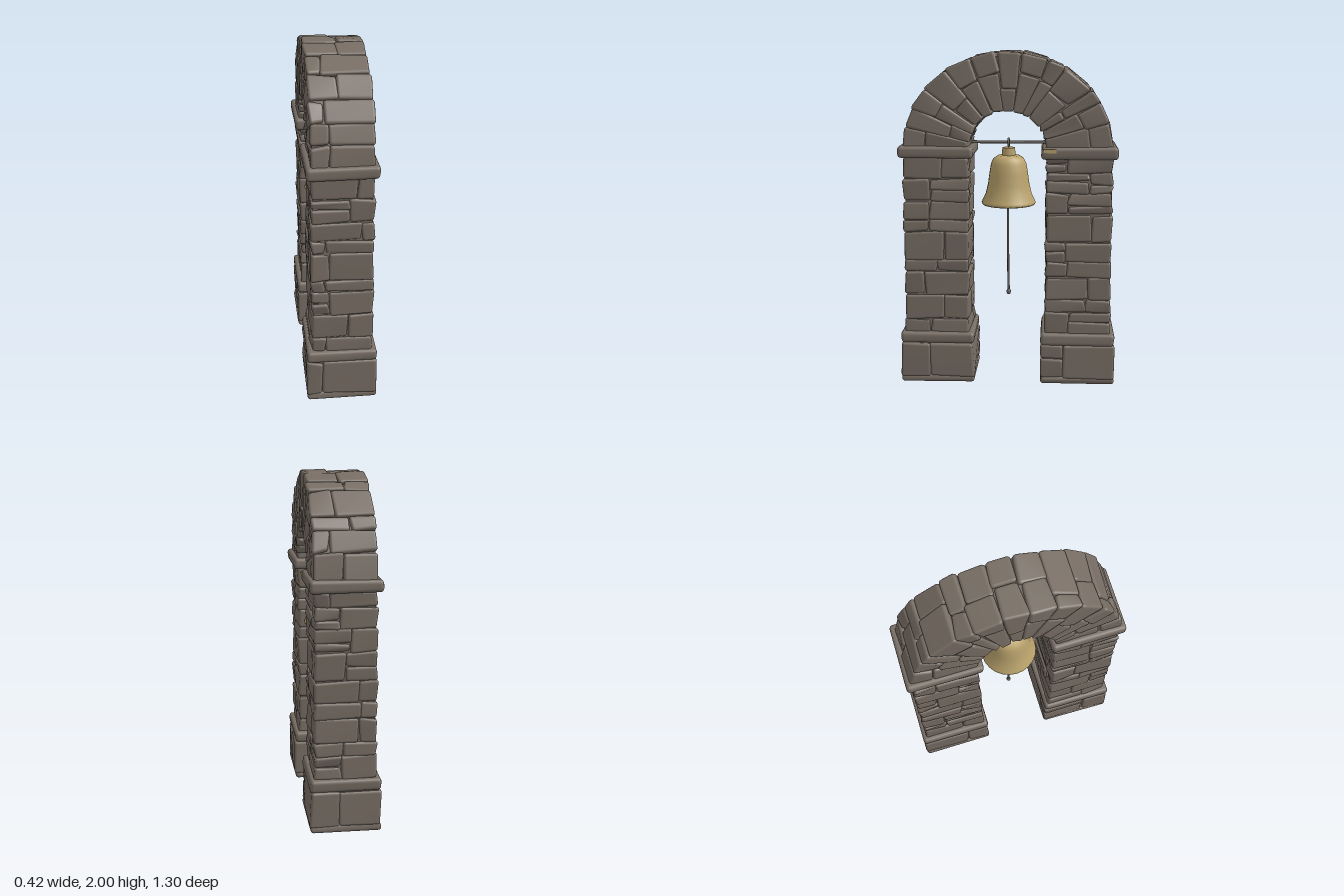
import * as THREE from 'three';
import { mergeVertices, mergeGeometries } from 'three/addons/utils/BufferGeometryUtils.js';
import { RoundedBoxGeometry } from 'three/addons/geometries/RoundedBoxGeometry.js';

const material = (name, color) => Object.assign(new THREE.MeshStandardMaterial({ color }), { name });

export function createModel() {
  const stone = material('stone', 0x776d64);
  const brass = material('brass', 0xb9a26c);
  brass.side = THREE.DoubleSide;
  const iron = material('iron', 0x6a6560);
  const model = new THREE.Group();
  model.name = 'bellArch';

  let seed = 17;
  const rand = () => {
    seed = (seed * 1664525 + 1013904223) % 4294967296;
    return seed / 4294967296;
  };
  const jitter = (a) => (rand() * 2 - 1) * a;

  const add = (parent, name, geometry, mat, x = 0, y = 0, z = 0) => {
    const mesh = new THREE.Mesh(geometry, mat);
    mesh.name = name;
    mesh.position.set(x, y, z);
    parent.add(mesh);
    return mesh;
  };

  // One rounded, slightly skewed block between two corners
  function block(min, max, radius = 0.016, rough = 0.007) {
    const size = max.map((v, i) => v - min[i]);
    const mid = max.map((v, i) => (v + min[i]) / 2);
    const g = new RoundedBoxGeometry(...size, 2, Math.min(radius, Math.min(...size) * 0.4));
    g.deleteAttribute('normal');
    g.deleteAttribute('uv');
    const corners = Array.from({ length: 8 }, () => [jitter(rough), jitter(rough), jitter(rough)]);
    const p = g.attributes.position;
    for (let i = 0; i < p.count; i++) {
      const v = [p.getX(i), p.getY(i), p.getZ(i)];
      const c = corners[(v[0] > 0 ? 1 : 0) + (v[1] > 0 ? 2 : 0) + (v[2] > 0 ? 4 : 0)];
      p.setXYZ(i, ...v.map((n, k) => n + c[k] + mid[k]));
    }
    return g;
  }

  // Uneven cuts from a to b in n steps
  const cuts = (a, b, n) => Array.from({ length: n + 1 }, (_, i) =>
    a + (b - a) * (i + (i > 0 && i < n ? jitter(0.28) : 0)) / n);

  // A course of four blocks meeting at an off-centre joint
  function course(x, y0, y1, z0, z1) {
    const sx = jitter(x * 0.6);
    const sz = z0 + (z1 - z0) * (0.3 + rand() * 0.4);
    const list = [];
    for (const [xa, xb] of [[-x, sx], [sx, x]])
      for (const [za, zb] of [[z0, sz], [sz, z1]]) {
        // Some stones are split into two thinner ones
        const ys = rand() < 0.3 && y1 - y0 > 0.09 ? [y0, y0 + (y1 - y0) * (0.4 + rand() * 0.2), y1] : [y0, y1];
        for (let i = 0; i + 1 < ys.length; i++)
          list.push(block([xa, ys[i], za], [xb, ys[i + 1], zb]));
      }
    return list;
  }

  const smooth = (list) => {
    const g = mergeGeometries(list.map((part) => {
      const m = mergeVertices(part, 1e-5);
      m.computeVertexNormals();
      return m;
    }));
    return g;
  };

  // Pillars
  for (const side of [1, -1]) {
    const pillar = new THREE.Group();
    pillar.name = side > 0 ? 'frontPillar' : 'backPillar';
    model.add(pillar);
    const zc = side * 0.423;

    const foot = [block([-0.203, 0.005, zc - 0.222], [0.203, 0.05, zc + 0.222], 0.02, 0.004)];
    foot.push(...course(0.203, 0.04, 0.25, zc - 0.221, zc + 0.221));
    add(pillar, 'plinth', smooth(foot), stone);
    add(pillar, 'plinthCore', new THREE.BoxGeometry(0.376, 0.22, 0.412), stone, 0, 0.14, zc);

    const shaft = [];
    const ys = cuts(0.31, 1.39, 9);
    for (let i = 0; i < 9; i++) shaft.push(...course(0.177, ys[i], ys[i + 1], zc - 0.196, zc + 0.196));
    add(pillar, 'shaft', smooth(shaft), stone);
    add(pillar, 'shaftCore', new THREE.BoxGeometry(0.33, 1.08, 0.366), stone, 0, 0.85, zc);

    for (const [name, y] of [['lowerBand', 0.285], ['capBand', 1.417]])
      add(pillar, name, smooth([block([-0.203, y - 0.036, zc - 0.223], [0.203, y + 0.036, zc + 0.223], 0.022, 0.003)]), stone);
  }

  // Arch: blocks laid out as (x, depth, angle), then bent around the opening
  const bend = (g) => {
    const p = g.attributes.position;
    for (let i = 0; i < p.count; i++) {
      const d = p.getY(i), a = p.getZ(i) / 0.45;
      p.setXYZ(i, p.getX(i), 1.42 + (0.24 + d * 0.88) * Math.sin(a), -(0.232 + d) * Math.cos(a));
    }
    return g;
  };
  const arch = [];
  const joints = cuts(0, Math.PI * 0.45, 13);
  for (let i = 0; i < 13; i++) {
    const sx = jitter(0.1), sd = 0.12 + rand() * 0.15;
    for (const [xa, xb] of [[-0.177, sx], [sx, 0.177]])
      for (const [da, db] of [[0, sd], [sd, 0.388]])
        arch.push(bend(block([xa, da, joints[i]], [xb, db, joints[i + 1]])));
  }
  add(model, 'archStones', smooth(arch), stone);

  // Solid core behind the arch joints
  const section = new THREE.Shape();
  section.absellipse(0, 0, 0.595, 0.555, 0, Math.PI, false);
  section.absellipse(0, 0, 0.255, 0.262, Math.PI, 0, true);
  const core = new THREE.ExtrudeGeometry(section, { depth: 0.33, bevelEnabled: false, curveSegments: 24 });
  core.translate(0, 0, -0.165).rotateY(Math.PI / 2);
  add(model, 'archCore', core, stone, 0, 1.42, 0);

  // Crossbar and hanging ring
  const bar = add(model, 'crossbar', new THREE.CylinderGeometry(0.009, 0.009, 0.5, 8), iron, 0, 1.46, 0);
  bar.rotation.x = Math.PI / 2;
  add(model, 'hangingRing', new THREE.TorusGeometry(0.022, 0.007, 8, 16), iron, 0, 1.458, 0);

  // Bell, open below with a thin wall
  const profile = [
    [0.001, 1.36], [0.06, 1.35], [0.085, 1.32], [0.105, 1.24], [0.125, 1.15], [0.148, 1.092],
    [0.158, 1.083], [0.165, 1.092], [0.16, 1.105], [0.139, 1.15], [0.125, 1.21], [0.117, 1.27],
    [0.107, 1.33], [0.092, 1.362], [0.065, 1.38], [0.001, 1.385],
  ].map(([r, y]) => new THREE.Vector2(r, y));
  add(model, 'bell', new THREE.LatheGeometry(profile, 24), brass);
  add(model, 'bellCrown', new THREE.CylinderGeometry(0.038, 0.042, 0.055, 16), brass, 0, 1.4, 0);

  // Clapper and its long pull
  const clapper = new THREE.Group();
  clapper.name = 'clapper';
  model.add(clapper);
  add(clapper, 'clapperWeight', new THREE.CylinderGeometry(0.012, 0.022, 0.06, 10), iron, 0, 1.11, 0);
  const path = new THREE.CatmullRomCurve3([
    new THREE.Vector3(0, 1.36, 0), new THREE.Vector3(0, 1.08, 0.004),
    new THREE.Vector3(0, 0.8, 0.004), new THREE.Vector3(0, 0.54, 0),
  ]);
  add(clapper, 'pull', new THREE.TubeGeometry(path, 12, 0.007, 8), iron);
  add(clapper, 'pullKnob', new THREE.SphereGeometry(0.014, 10, 8), iron, 0, 0.53, 0).scale.y = 1.4;

  // Brass flecks on the back cap
  add(model, 'sideFleck', new THREE.BoxGeometry(0.006, 0.022, 0.075), brass, 0.202, 1.432, -0.25);
  add(model, 'innerFleck', new THREE.BoxGeometry(0.07, 0.02, 0.006), brass, 0.01, 1.432, -0.2);

  return model;
}
